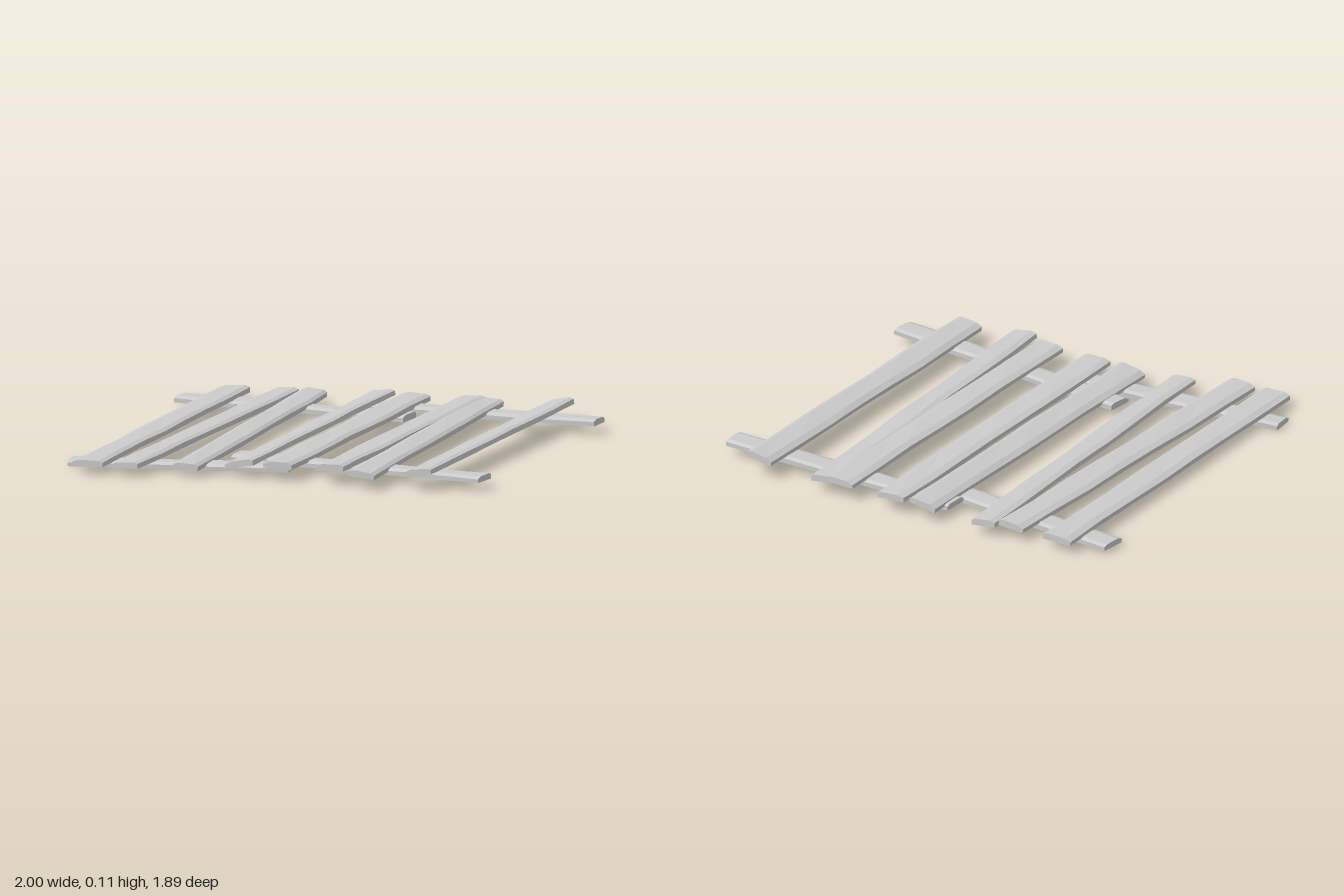
import * as THREE from 'three';

const material = new THREE.MeshStandardMaterial({ color: 0xcccccc, flatShading: true });

// Rough board from a to b (centres of the underside), worn along its upper edges
function board(name, a, b, width, thick, roll, seed) {
  const start = new THREE.Vector3(...a);
  const dir = new THREE.Vector3(...b).sub(start);
  const length = dir.length();
  dir.normalize();

  const w = width / 2;
  const section = new THREE.Shape([
    [-w, 0], [w, 0], [w, thick * 0.72], [w * 0.7, thick], [-w * 0.55, thick], [-w, thick * 0.66],
  ].map(([x, y]) => new THREE.Vector2(x, y)));
  const geo = new THREE.ExtrudeGeometry(section, { depth: length, steps: 7, bevelEnabled: false });

  // Slight waviness of the sawn edges and top
  const p = geo.attributes.position;
  for (let i = 0; i < p.count; i++) {
    const x = p.getX(i), y = p.getY(i), z = p.getZ(i);
    p.setX(i, x + 0.003 * Math.sin(z * 7 + seed * 2.3 + Math.sign(x)));
    if (y > 0) p.setY(i, y + 0.002 * Math.sin(z * 9 + seed + x * 20));
  }
  geo.computeVertexNormals();

  const side = new THREE.Vector3(0, 1, 0).cross(dir).normalize().applyAxisAngle(dir, roll);
  const up = dir.clone().cross(side);
  geo.applyMatrix4(new THREE.Matrix4().makeBasis(side, up, dir).setPosition(start));
  const mesh = new THREE.Mesh(geo, material);
  mesh.name = name;
  return mesh;
}

export function createModel() {
  const model = new THREE.Group();
  model.name = 'brokenFence';

  // Upright planks: back x, y, z; front x, y, z; width; roll
  const planks = [
    [[-0.79, 0.04, -0.905], [-0.785, 0.035, 0.94], 0.137, 0.02],
    [[-0.55, 0.045, -0.905], [-0.61, 0.038, 0.94], 0.132, 0.06],
    [[-0.425, 0.043, -0.94], [-0.355, 0.034, 0.85], 0.118, -0.08],
    [[-0.11, 0.058, -0.945], [-0.125, 0.05, 0.785], 0.13, 0.17],
    [[0.055, 0.057, -0.945], [0.055, 0.055, 0.785], 0.14, -0.03],
    [[0.322, 0.064, -0.945], [0.305, 0.061, 0.785], 0.132, 0.04],
    [[0.405, 0.058, -0.945], [0.475, 0.054, 0.85], 0.122, -0.1],
    [[0.745, 0.078, -0.945], [0.725, 0.07, 0.785], 0.13, 0.16],
  ];
  planks.forEach(([a, b, w, roll], i) => model.add(board('plank' + (i + 1), a, b, w, 0.03, roll, i)));

  // Cross rails, each snapped in two overlapping halves
  const rails = [
    ['backRailRight', [-0.995, 0.013, -0.765], [0.14, 0.024, -0.64], 0.125],
    ['backRailLeft', [-0.195, 0.032, -0.8], [0.995, 0.042, -0.757], 0.122],
    ['frontRailRight', [-0.938, 0.002, 0.747], [0.07, 0.022, 0.637], 0.118],
    ['frontRailLeft', [-0.245, 0.028, 0.49], [0.987, 0.04, 0.647], 0.12],
  ];
  rails.forEach(([name, a, b, w], i) => model.add(board(name, a, b, w, 0.028, 0, i + 10)));

  return model;
}
